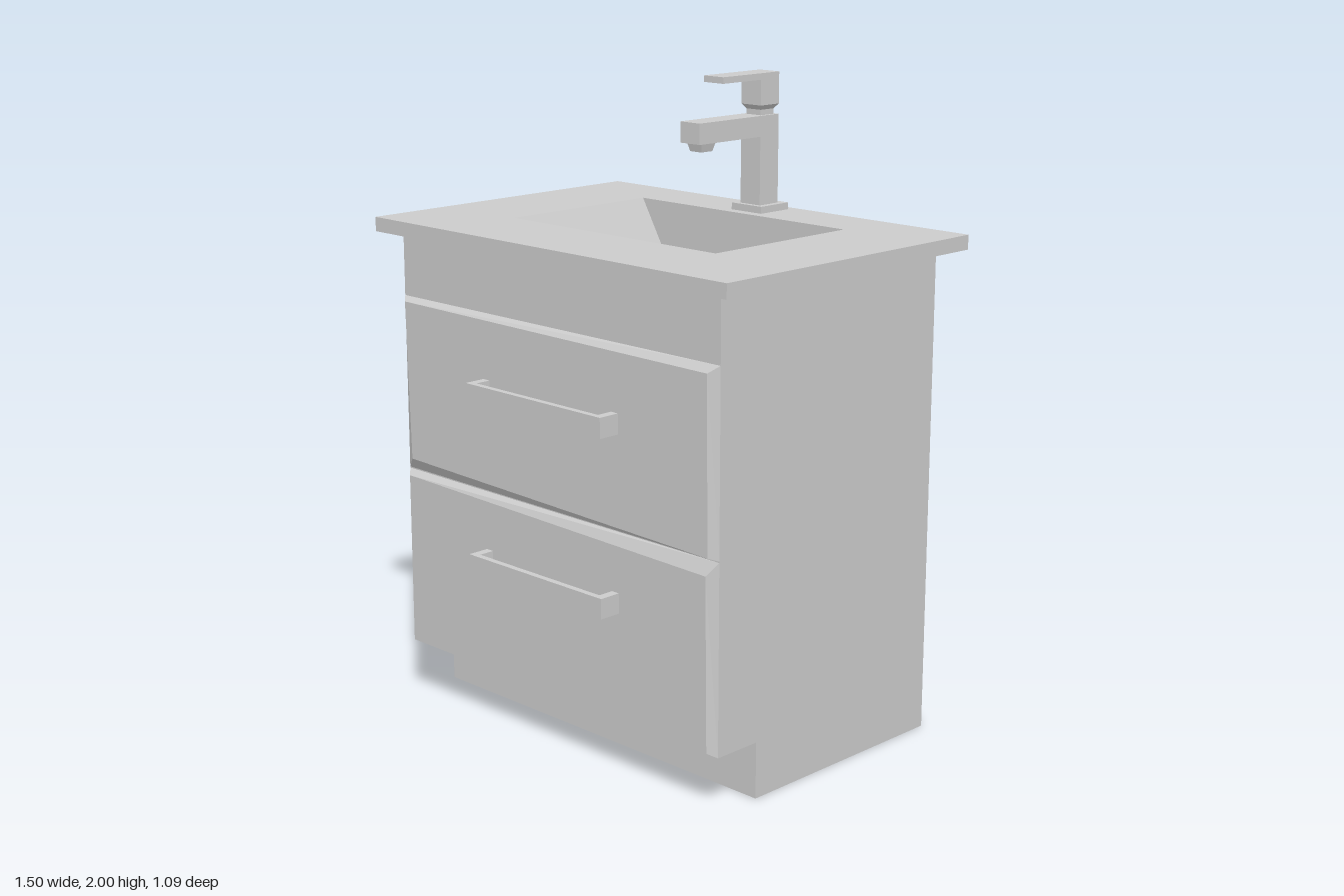
import * as THREE from 'three';

const material = new THREE.MeshStandardMaterial({ color: 0xcccccc, flatShading: true });
const openMaterial = new THREE.MeshStandardMaterial({ color: 0xcccccc, flatShading: true, side: THREE.DoubleSide });

function add(parent, name, geometry, mat = material) {
  const mesh = new THREE.Mesh(geometry, mat);
  mesh.name = name;
  parent.add(mesh);
  return mesh;
}

// Box given by its lowest and highest corners
function box(x0, x1, y0, y1, z0, z1) {
  return new THREE.BoxGeometry(x1 - x0, y1 - y0, z1 - z0)
    .translate((x0 + x1) / 2, (y0 + y1) / 2, (z0 + z1) / 2);
}

// Flat faces from polygons, each split as a fan from its first corner
function facets(polygons) {
  const pos = [];
  for (const p of polygons)
    for (let i = 1; i < p.length - 1; i++) pos.push(...p[0], ...p[i], ...p[i + 1]);
  const g = new THREE.BufferGeometry();
  g.setAttribute('position', new THREE.Float32BufferAttribute(pos, 3));
  g.computeVertexNormals();
  return g;
}

// Side profile of [z, y] points extruded across x
function extrudeAcross(profile, width) {
  const shape = new THREE.Shape(profile.map(([z, y]) => new THREE.Vector2(z, y)));
  return new THREE.ExtrudeGeometry(shape, { depth: width, bevelEnabled: false })
    .translate(0, 0, -width / 2).rotateY(-Math.PI / 2);
}

// Square block whose half width changes from bottom to top
function taperedBlock(bottom, top, y0, y1, z) {
  return new THREE.CylinderGeometry(top * Math.SQRT2, bottom * Math.SQRT2, y1 - y0, 4)
    .rotateY(Math.PI / 4).translate(0, (y0 + y1) / 2, z);
}

// Cabinet with toe kick, open at the top under the counter
function cabinetGeometry() {
  const w = 0.68;
  const profile = [[0.29, 0.175], [0.45, 0.175], [0.45, 1.52], [-0.48, 1.52], [-0.48, 0], [0.29, 0]];
  const at = (x) => profile.map(([z, y]) => [x, y, z]);
  const right = at(-w), left = at(w);
  const polygons = [right, [left[0], ...left.slice(1).reverse()]];
  profile.forEach((_, i) => {
    const j = (i + 1) % profile.length;
    if (i !== 2) polygons.push([right[i], left[i], left[j], right[j]]);
  });
  return facets(polygons);
}

// Drawer front: outer outline at the cabinet, bevelled to a slightly uneven face
function drawerGeometry(y0, y1, inner) {
  const outer = [[-0.68, y0], [0.68, y0], [0.68, y1], [-0.68, y1]].map(([x, y]) => [x, y, 0.45]);
  const face = inner.map(([x, y]) => [x, y, 0.472]);
  const polygons = [face];
  for (let i = 0; i < 4; i++) {
    const j = (i + 1) % 4;
    polygons.push([outer[i], outer[j], face[j], face[i]]);
  }
  return facets(polygons);
}

// Basin: stepped sloping sides, floor falling back to a drain pocket
function basinGeometry() {
  const zf = 0.21, zb = -0.35;
  const section = [[-0.43, 1.565], [-0.33, 1.395], [-0.19, 1.335], [0.19, 1.335], [0.33, 1.395], [0.43, 1.565]];
  const front = section.map(([x, y]) => [x, y, zf]);
  const back = section.map(([x, y]) => [x, y, zb]);
  const rect = (h, y, z0, z1) => [[-h, y, z1], [h, y, z1], [h, y, z0], [-h, y, z0]];
  const rim = rect(0.09, 1.28, -0.29, -0.185);
  const base = rect(0.083, 1.25, -0.28, -0.195);
  const polygons = [front, [...back].reverse(), base];
  for (const i of [0, 1, 3, 4]) polygons.push([front[i], front[i + 1], back[i + 1], back[i]]);
  // Central hollow around the drain, then the drain walls
  const hollow = [front[2], front[3], back[3], back[2]];
  for (const [a, b] of [[hollow, rim], [rim, base]])
    for (let i = 0; i < 4; i++) {
      const j = (i + 1) % 4;
      polygons.push([a[i], a[j], b[j], b[i]]);
    }
  return facets(polygons);
}

function counterGeometry() {
  const rect = (x, z0, z1) => [[-x, z0], [x, z0], [x, z1], [-x, z1]].map(([a, b]) => new THREE.Vector2(a, b));
  const shape = new THREE.Shape(rect(0.75, -0.543, 0.503));
  shape.holes.push(new THREE.Path(rect(0.43, -0.35, 0.21)));
  return new THREE.ExtrudeGeometry(shape, { depth: 0.045, bevelEnabled: false })
    .rotateX(Math.PI / 2).translate(0, 1.565, 0);
}

function createPull(y) {
  const pull = new THREE.Group();
  add(pull, 'pullBar', box(-0.285, 0.3, y - 0.031, y + 0.031, 0.523, 0.543));
  for (const x of [-0.285, 0.272])
    add(pull, 'pullPost', box(x, x + 0.028, y - 0.031, y + 0.031, 0.465, 0.523));
  return pull;
}

function createFaucet() {
  const faucet = new THREE.Group();
  faucet.name = 'faucet';
  faucet.position.x = -0.003;
  add(faucet, 'faucetBase', box(-0.063, 0.063, 1.565, 1.587, -0.512, -0.386));
  // Column and spout in one piece
  add(faucet, 'faucetBody', extrudeAcross(
    [[-0.487, 1.587], [-0.403, 1.587], [-0.403, 1.803], [-0.13, 1.803], [-0.13, 1.868], [-0.487, 1.868]], 0.082));
  add(faucet, 'aerator', taperedBlock(0.024, 0.031, 1.776, 1.803, -0.18));
  add(faucet, 'neck', taperedBlock(0.03, 0.03, 1.868, 1.885, -0.445));
  add(faucet, 'neckFlare', taperedBlock(0.03, 0.041, 1.885, 1.9, -0.445));
  add(faucet, 'lever', extrudeAcross(
    [[-0.487, 1.9], [-0.403, 1.9], [-0.403, 1.98], [-0.233, 1.98], [-0.233, 2], [-0.487, 2]], 0.082));
  return faucet;
}

export function createModel() {
  const model = new THREE.Group();
  model.name = 'bathroomVanity';
  add(model, 'cabinet', cabinetGeometry());
  add(model, 'counter', counterGeometry());
  add(model, 'basin', basinGeometry(), openMaterial);

  // Drawer fronts with their pulls
  add(model, 'upperDrawer', drawerGeometry(0.762, 1.32,
    [[-0.64, 0.8], [0.655, 0.77], [0.65, 1.297], [-0.655, 1.306]]));
  add(model, 'lowerDrawer', drawerGeometry(0.175, 0.758,
    [[-0.655, 0.188], [0.655, 0.188], [0.648, 0.716], [-0.655, 0.742]]));
  for (const [name, y] of [['upperPull', 1.09], ['lowerPull', 0.55]]) {
    const pull = createPull(y);
    pull.name = name;
    model.add(pull);
  }

  model.add(createFaucet());
  return model;
}
